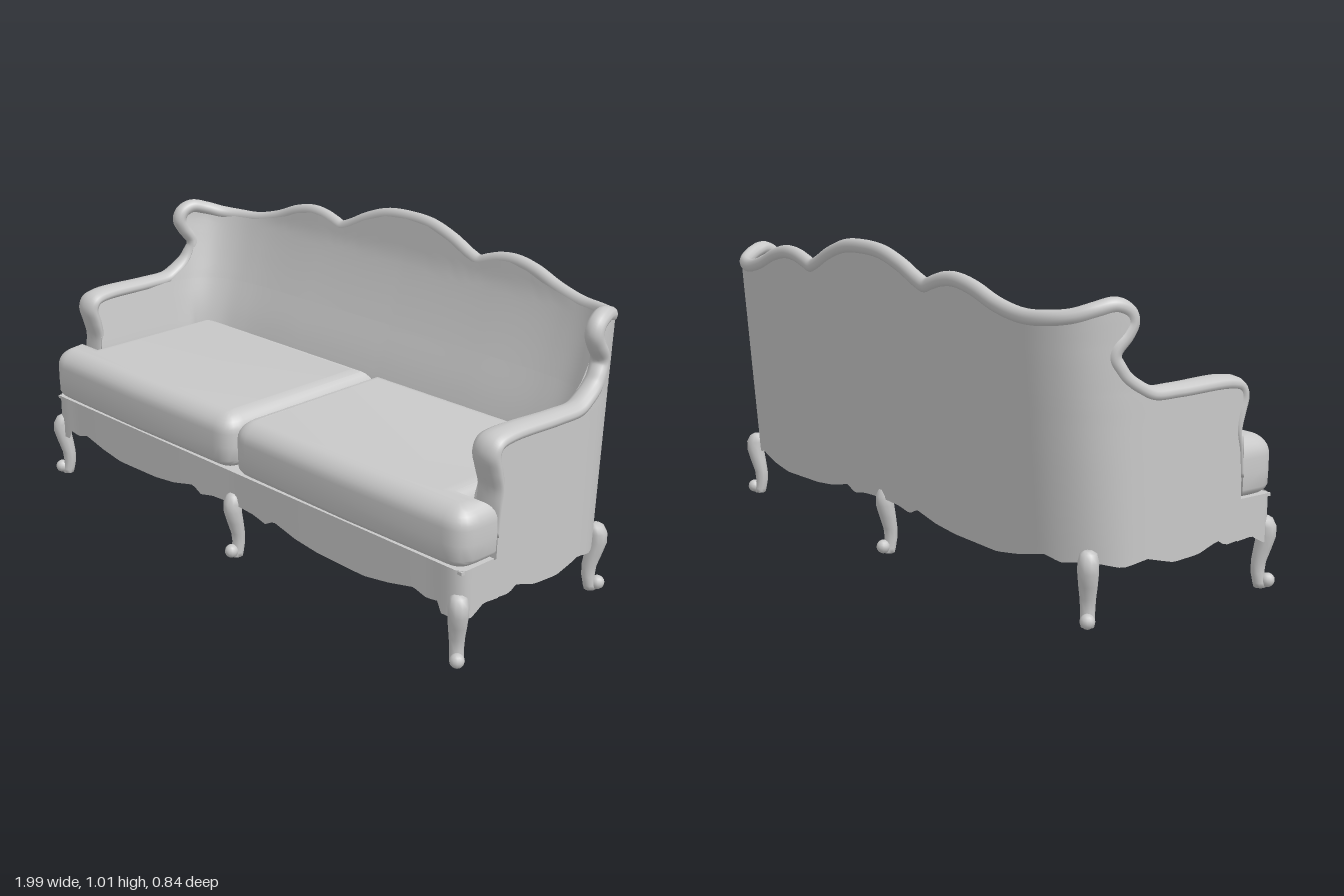
import * as THREE from 'three';
import { toCreasedNormals } from 'three/addons/utils/BufferGeometryUtils.js';

const V = (x, y, z) => new THREE.Vector3(x, y, z);
const { smoothstep } = THREE.MathUtils;

// Piecewise linear lookup in [[key, value], ...]
function lookup(table, k) {
  if (k <= table[0][0]) return table[0][1];
  for (let i = 1; i < table.length; i++) {
    const [a, va] = table[i - 1], [b, vb] = table[i];
    if (k <= b) return va + (vb - va) * (k - a) / (b - a);
  }
  return table[table.length - 1][1];
}

// Skin over rows of points; closed rows become tubes with capped ends
function skin(rows, closed = false) {
  const n = rows[0].length, pos = [], idx = [];
  rows.forEach(r => r.forEach(p => pos.push(p.x, p.y, p.z)));
  for (let i = 0; i < rows.length - 1; i++)
    for (let j = 0; j < (closed ? n : n - 1); j++) {
      const k = (j + 1) % n, a = i * n + j, b = i * n + k, c = a + n, d = b + n;
      idx.push(a, c, b, b, c, d);
    }
  if (closed) {
    const e = (rows.length - 1) * n;
    for (let j = 1; j < n - 1; j++) idx.push(0, j, j + 1, e, e + j + 1, e + j);
  }
  const g = new THREE.BufferGeometry();
  g.setAttribute('position', new THREE.Float32BufferAttribute(pos, 3));
  g.setIndex(idx);
  g.computeVertexNormals();
  return g;
}
const grid = (f, nu, nv, u0 = -1) => skin(Array.from({ length: nu + 1 }, (_, i) =>
  Array.from({ length: nv + 1 }, (_, j) => f(u0 + (1 - u0) * i / nu, j / nv))));

// Half plan of the shell at floor level, from back centre round to the arm front
const plan = new THREE.CatmullRomCurve3([[0, -.345], [.4, -.342], [.7, -.335], [.83, -.31], [.92, -.258],
  [.967, -.195], [.983, -.12], [.985, 0], [.983, .15], [.983, .29]].map(([x, z]) => V(x, 0, z)));
plan.arcLengthDivisions = 800;
const lean = z => smoothstep(-z, .1, .3);
// Point on the leaning shell at plan position s (negative = mirrored), height y, inset d
function onShell(s, y, d = 0) {
  const q = Math.min(Math.abs(s), 1), p = plan.getPointAt(q), t = plan.getTangentAt(q);
  const x = q < 1e-5 ? 0 : p.x - t.z * d;
  return V(Math.sign(s) * x, y, p.z + t.x * d - .085 * (y - .17) * lean(p.z));
}
// Plan position where the shell at height y reaches a given x or z
function sAt(axis, value, y) {
  let a = 0, b = 1;
  for (let i = 0; i < 24; i++) {
    const m = (a + b) / 2;
    if (onShell(m, y)[axis] < value) a = m; else b = m;
  }
  return a;
}

// Scalloped lower edges
const waveX = [[0, .185], [.1, .18], [.16, .167], [.2, .188], [.3, .165], [.4, .154], [.6, .15],
  [.7, .165], [.8, .187], [.85, .172], [.9, .18]];
const waveZ = [[-.24, .18], [-.18, .166], [-.1, .182], [0, .155], [.1, .16], [.18, .185], [.21, .167],
  [.3, .175], [.35, .147]];
const hem = p => Math.abs(p.x) < .9 ? lookup(waveX, Math.abs(p.x)) : lookup(waveZ, p.z);

// Front edge of the arm, and front edge of the wing above it: height -> z -> plan position
const edge = rows => rows.map(([y, z]) => [y, sAt('z', z, y)]);
const armEdge = edge([[.15, .256], [.45, .247], [.5, .24], [.55, .248], [.6, .26], [.63, .245]]);
const wingEdge = edge([[.63, -.09], [.65, -.11], [.67, -.15], [.695, -.19], [.72, -.21], [.75, -.228],
  [.775, -.225], [.815, -.19], [.85, -.175], [.88, -.19], [.893, -.23]]);

// Top rail centre line as (plan position, height, half width)
const backTop = [[0, .985], [.1, .978], [.2, .947], [.28, .91], [.32, .898], [.36, .91], [.41, .924], [.47, .929],
  [.55, .914], [.65, .878], [.75, .857], [.83, .857]].map(([x, y]) => V(sAt('x', x, y), y, .02));
const wingTop = [[-.33, .866, .024], [-.28, .884, .027], [-.23, .895, .029], [-.19, .881, .029], [-.173, .85, .029],
  [-.19, .815, .029], [-.225, .775, .029], [-.228, .75, .03], [-.21, .72, .03], [-.19, .695, .032],
  [-.15, .667, .034], [-.1, .643, .036], [0, .639, .039], [.2, .639, .046],
  [.245, .628, .049], [.26, .6, .049], [.248, .55, .049], [.238, .5, .048], [.246, .44, .047], [.253, .36, .046]]
  .map(([z, y, w]) => V(sAt('z', z, y), y, w));
const half = [...backTop, ...wingTop];
const topTable = half.slice(0, backTop.length + 4).map(p => [p.x, p.y]);
const wingTip = sAt('z', -.19, .881);

function railGeometry() {
  const mirrored = half.slice(1).reverse().map(p => V(-p.x, p.y, p.z));
  const line = new THREE.CatmullRomCurve3([...mirrored, ...half]);
  const N = 420, samples = Array.from({ length: N + 1 }, (_, i) => line.getPoint(i / N));
  const centre = samples.map(p => onShell(p.x, p.y, p.z - .007));
  const rows = samples.map((p, i) => {
    const c = centre[i];
    const T = centre[Math.min(i + 1, N)].clone().sub(centre[Math.max(i - 1, 0)]).normalize();
    const inward = onShell(p.x, p.y, p.z + .01).sub(c).setY(0);
    inward.addScaledVector(T, -inward.dot(T)).normalize();
    const up = T.clone().cross(inward).normalize();
    const h = .008 + .016 * smoothstep(p.y, .42, .57);
    return Array.from({ length: 12 }, (_, j) => {
      const a = j / 12 * Math.PI * 2;
      return c.clone().addScaledVector(inward, p.z * Math.cos(a)).addScaledVector(up, h * Math.sin(a));
    });
  });
  return skin(rows, true);
}

// Padding depth of the inner lining, thicker low on the back
function padding(s, y) {
  const d = lookup([[.45, .094], [.63, .066], [.75, .05], [.86, .034]], y);
  return d * (1 + .4 * lean(plan.getPointAt(Math.min(Math.abs(s), 1)).z) * (1 - smoothstep(y, .5, .86)));
}
function lowerPoint(t, v, inner) {
  const y0 = inner ? .38 : hem(onShell(t * .99, .17));
  const y = y0 + (.635 - y0) * v, s = t * lookup(armEdge, y);
  return onShell(s, y, inner ? padding(s, y) : 0);
}
function upperPoint(t, v, inner) {
  const top = lookup(topTable, Math.abs(t) * wingTip);
  const y = .63 + (top - .63) * v, s = t * lookup(wingEdge, y);
  return onShell(s, y, inner ? padding(s, y) : 0);
}

// T-shaped seat cushion for the +x side, open underneath
function cushionGeometry() {
  const s = new THREE.Shape(), r = .075;
  s.moveTo(.004, .25);
  s.lineTo(.004, -.4 + r);
  s.quadraticCurveTo(.004, -.4, .004 + r, -.4);
  s.lineTo(.5, -.405);
  s.lineTo(.985 - r, -.4);
  s.quadraticCurveTo(.985, -.4, .985, -.4 + r);
  s.lineTo(.985, -.255);
  s.lineTo(.89, -.255);
  s.lineTo(.89, .25);
  s.closePath();
  const g = new THREE.ExtrudeGeometry(s, { depth: .045, bevelEnabled: true, bevelThickness: .075,
    bevelSize: .06, bevelOffset: -.06, bevelSegments: 7, curveSegments: 6 });
  g.rotateX(-Math.PI / 2).translate(0, .365, 0);
  const p = g.attributes.position;
  for (let i = 0; i < p.count; i++) { // tighter rounding underneath, top sloping to the front
    const y = p.getY(i);
    if (y < .365) p.setY(i, .287 + (y - .29) * .55);
    else p.setY(i, y - .014 * smoothstep(p.getZ(i), .2, .36) * smoothstep(y, .4, .485));
  }
  const smooth = toCreasedNormals(g, .7), q = smooth.attributes.position, keep = [];
  for (let i = 0; i < q.count; i += 3)
    if (Math.max(q.getY(i), q.getY(i + 1), q.getY(i + 2)) > .288) keep.push(i, i + 1, i + 2);
  smooth.clearGroups();
  smooth.setIndex(keep);
  return smooth;
}

// Curved leg: sections of [outward offset, height, radius], bowing along +z
function legGeometry() {
  const sections = [[0, .22, .012], [0, .213, .024], [.006, .19, .03], [.006, .16, .03], [-.004, .12, .027],
    [-.014, .08, .023], [-.016, .045, .021], [-.01, .015, .021], [-.008, 0, .019]];
  return skin(sections.map(([o, y, r]) => Array.from({ length: 10 }, (_, j) => {
    const a = j / 10 * Math.PI * 2;
    return V(r * Math.cos(a), y, o + r * Math.sin(a));
  })), true);
}

export function createModel() {
  const sofa = new THREE.Group();
  sofa.name = 'sofa';
  const upholstery = new THREE.MeshStandardMaterial({ color: 0xc8c8c8, side: THREE.DoubleSide });
  upholstery.name = 'light grey';
  const add = (name, geometry, parent = sofa) => {
    const m = new THREE.Mesh(geometry, upholstery);
    m.name = name;
    parent.add(m);
    return m;
  };

  // Shell: outer skin and padded lining, arms below and wings above
  for (const inner of [false, true]) {
    const side = inner ? 'Lining' : 'Shell';
    add('lower' + side, grid((t, v) => lowerPoint(t, v, inner), 160, 12));
    add('upper' + side, grid((t, v) => upperPoint(t, v, inner), 160, 12));
  }
  for (const [sign, name] of [[1, 'left'], [-1, 'right']]) {
    const strip = point => grid((u, v) => point(sign, u, false).lerp(point(sign, u, true), v), 16, 2, 0);
    add(name + 'ArmFront', strip(lowerPoint));
    add(name + 'WingFront', strip(upperPoint));
  }
  add('topRail', railGeometry());

  // Scalloped front apron wrapping round both corners
  const apronPath = new THREE.CatmullRomCurve3([[0, .388], [.4, .392], [.85, .39], [.955, .387], [.98, .365],
    [.984, .3], [.984, .24]].map(([x, z]) => V(x, 0, z)));
  add('apron', grid((t, v) => {
    const p = apronPath.getPointAt(Math.abs(t)), y0 = hem(p);
    return V(Math.sign(t) * p.x, y0 + (.294 - y0) * v, p.z);
  }, 140, 2));

  // Front deck strip and cushions
  add('deckFront', new THREE.BoxGeometry(1.95, .01, .15)).position.set(0, .287, .31);
  const cushion = cushionGeometry();
  add('leftCushion', cushion);
  add('rightCushion', cushion).scale.x = -1;

  // Legs with scrolled toes
  const leg = legGeometry(), toe = new THREE.SphereGeometry(.022, 12, 8);
  const places = [['frontMiddleLeg', 0, .382, 0], ['backMiddleLeg', 0, -.325, Math.PI]];
  for (const [sign, name] of [[1, 'Left'], [-1, 'Right']])
    places.push(['front' + name + 'Leg', sign * .961, .379, sign * .8],
      ['back' + name + 'Leg', sign * .923, -.278, sign * 2.3]);
  for (const [name, x, z, turn] of places) {
    const g = new THREE.Group();
    g.name = name;
    g.position.set(x, 0, z);
    g.rotation.y = turn;
    add('legPost', leg, g);
    add('toe', toe, g).position.set(0, .022, .014);
    sofa.add(g);
  }
  return sofa;
}
